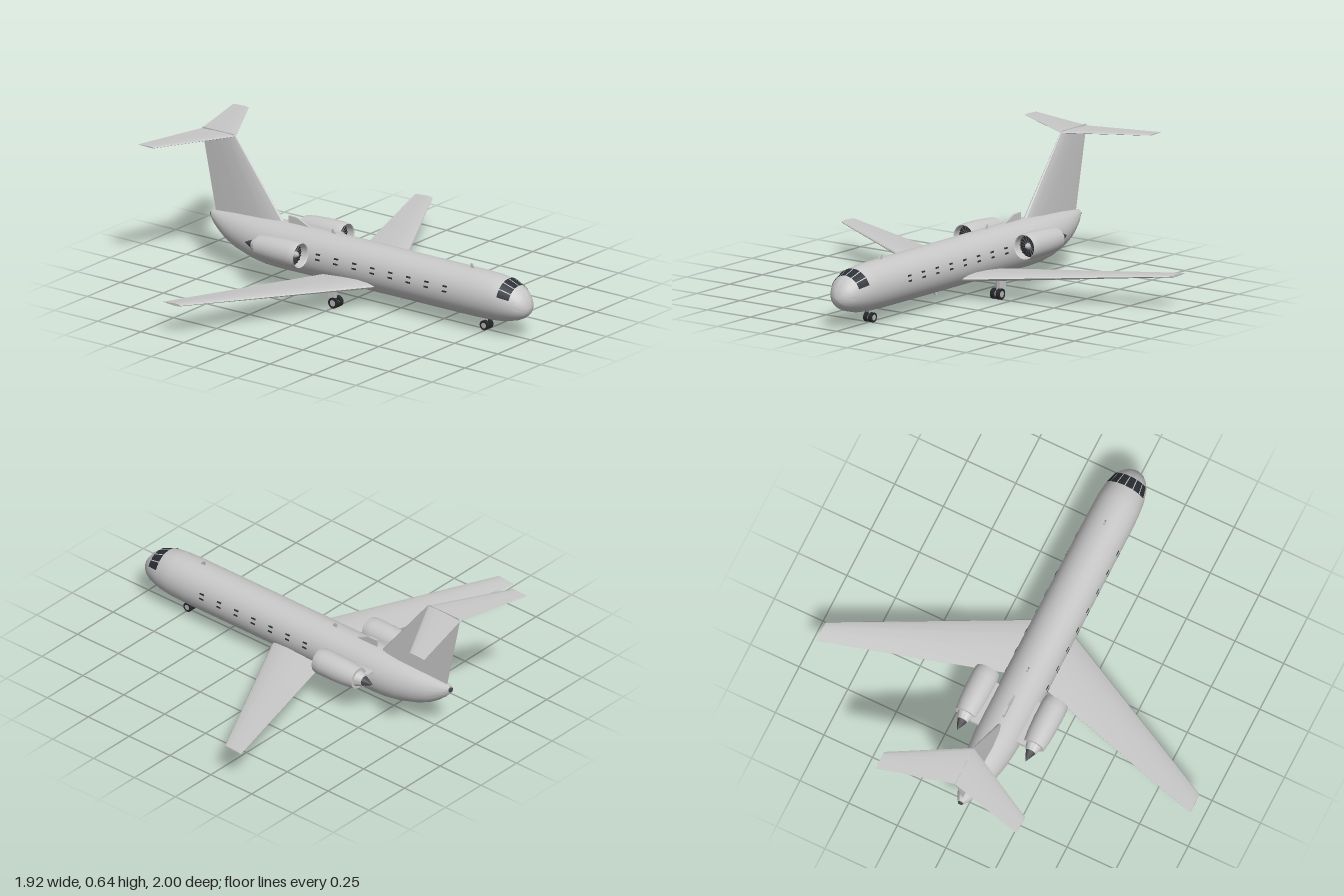
import * as THREE from 'three';
import { toCreasedNormals } from 'three/addons/utils/BufferGeometryUtils.js';

const mat = (name, color, extra = {}) => Object.assign(new THREE.MeshStandardMaterial({ color, ...extra }), { name });

// Fuselage stations from tail to nose: z, top, bottom, half width
const STATIONS = [
  [-0.845, 0.251, 0.212, 0.016], [-0.82, 0.255, 0.185, 0.03], [-0.78, 0.259, 0.152, 0.046],
  [-0.74, 0.264, 0.126, 0.061], [-0.68, 0.27, 0.1, 0.078], [-0.58, 0.277, 0.072, 0.097],
  [-0.5, 0.281, 0.06, 0.106], [-0.42, 0.283, 0.057, 0.109], [0.7, 0.283, 0.057, 0.109],
  [0.8, 0.281, 0.06, 0.107], [0.87, 0.273, 0.067, 0.1], [0.935, 0.247, 0.084, 0.082],
  [0.965, 0.222, 0.098, 0.063], [0.985, 0.196, 0.114, 0.043], [0.996, 0.172, 0.132, 0.02], [1, 0.151, 0.149, 0.001],
];
function hullPoint(z, angle, lift = 0) {
  let i = 0;
  while (i < STATIONS.length - 2 && STATIONS[i + 1][0] < z) i++;
  const a = STATIONS[i], b = STATIONS[i + 1], t = (z - a[0]) / (b[0] - a[0]);
  const [top, bottom, w] = [1, 2, 3].map(k => THREE.MathUtils.lerp(a[k], b[k], t));
  return new THREE.Vector3((w + lift) * Math.cos(angle), (top + bottom) / 2 + ((top - bottom) / 2 + lift) * Math.sin(angle), z);
}

// Skin over closed rings of points, with flat end caps
function loft(rings, crease) {
  const n = rings[0].length, last = (rings.length - 1) * n, idx = [];
  for (let i = 0; i < rings.length - 1; i++)
    for (let j = 0; j < n; j++) {
      const a = i * n + j, b = i * n + (j + 1) % n;
      idx.push(a, b, b + n, a, b + n, a + n);
    }
  for (let j = 1; j < n - 1; j++) idx.push(0, j + 1, j, last, last + j, last + j + 1);
  const g = new THREE.BufferGeometry().setFromPoints(rings.flat());
  g.setIndex(idx);
  return toCreasedNormals(g, crease);
}

// Aerofoil ring: calls place(z, offset) round the section, leading edge first
const FOIL = [[0, 0], [0.02, 0.4], [0.1, 0.78], [0.3, 1], [0.6, 0.75], [1, 0.06]];
function foil(lead, trail, half, place) {
  const side = s => FOIL.map(([c, h]) => place(THREE.MathUtils.lerp(lead, trail, c), s * h * half));
  return [...side(1), ...side(-1).slice(1).reverse()];
}

// Thin upright plate from a side outline of [z, y] points
function plate(points, width) {
  const g = new THREE.ExtrudeGeometry(new THREE.Shape(points.map(p => new THREE.Vector2(...p))), { depth: width, bevelEnabled: false });
  return g.translate(0, 0, -width / 2).rotateY(-Math.PI / 2);
}

// Pane that follows the fuselage skin
function pane(z0, z1, a0, a1) {
  const g = new THREE.PlaneGeometry(1, 1, 4, 1), p = g.attributes.position;
  for (let i = 0; i < p.count; i++) {
    const v = hullPoint(z0 + (p.getY(i) + 0.5) * (z1 - z0), a0 + (p.getX(i) + 0.5) * (a1 - a0), 0.002);
    p.setXYZ(i, v.x, v.y, v.z);
  }
  g.computeVertexNormals();
  return g;
}

const spin = (pts, seg = 32) => toCreasedNormals(
  new THREE.LatheGeometry(pts.map(p => new THREE.Vector2(...p)), seg).rotateX(Math.PI / 2), 0.6);

export function createModel() {
  const model = new THREE.Group();
  model.name = 'jetAirliner';
  const skin = mat('lightGrey', 0xc8c8c8);
  const glass = mat('darkGlass', 0x2b3036, { side: THREE.DoubleSide });
  const dark = mat('darkMetal', 0x474a4e);
  const rubber = mat('tyreBlack', 0x26282a);
  const steel = mat('wheelSilver', 0xb4b6b8);
  const add = (name, geo, m, x = 0, y = 0, z = 0, parent = model) => {
    const mesh = new THREE.Mesh(geo, m);
    mesh.name = name;
    mesh.position.set(x, y, z);
    parent.add(mesh);
    return mesh;
  };

  // Body
  const hull = STATIONS.map(s => Array.from({ length: 40 }, (_, j) => hullPoint(s[0], j / 40 * Math.PI * 2)));
  add('fuselage', loft(hull, 0.9), skin);
  add('tailExhaust', new THREE.CylinderGeometry(0.012, 0.012, 0.012, 16).rotateX(Math.PI / 2), dark, 0, 0.232, -0.846);

  // Wings and tailplane run from tip to tip
  const wing = [[-0.96, -0.3, -0.4, 0.006, 0.157], [0, 0.21, -0.108, 0.02, 0.103], [0.96, -0.3, -0.4, 0.006, 0.157]];
  const tail = [[-0.362, -0.91, -1, 0.003, 0.636], [0, -0.71, -0.908, 0.006, 0.636], [0.362, -0.91, -1, 0.003, 0.636]];
  for (const [name, rows] of [['wings', wing], ['tailplane', tail]])
    add(name, loft(rows.map(([x, l, t, h, y]) => foil(l, t, h, (z, o) => new THREE.Vector3(x, y - o, z))), 0.5), skin);
  const fin = [[0.24, -0.4, -0.823, 0.021], [0.636, -0.707, -0.905, 0.008]];
  add('fin', loft(fin.map(([y, l, t, h]) => foil(l, t, h, (z, o) => new THREE.Vector3(o, y, z))), 0.5), skin);
  add('finCap', plate([[-0.71, 0.634], [-0.72, 0.645], [-0.9, 0.645], [-0.907, 0.634]], 0.006), skin);

  // Blade aerials and dorsal inlet
  for (const z of [0.665, -0.14])
    add('topAerial', plate([[z + 0.015, 0.28], [z - 0.012, 0.28], [z - 0.012, 0.303], [z - 0.002, 0.303]], 0.007), skin);
  add('bellyAerial', plate([[0.268, 0.06], [0.24, 0.06], [0.235, 0.037], [0.245, 0.037]], 0.007), skin);
  add('dorsalInlet', plate([[-0.275, 0.28], [-0.4, 0.28], [-0.4, 0.316], [-0.35, 0.314]], 0.01), skin);

  // Cockpit and cabin windows
  const deg = Math.PI / 180;
  for (let i = 0; i < 6; i++) {
    const a = 20 + i * 23.4;
    add('cockpitWindow', pane(0.873, 0.932, (a + 1.5) * deg, (a + 21.9) * deg), glass);
  }
  for (let i = 0; i < 8; i++)
    for (const a of [0.08, 0.295])
      for (const mid of [a, Math.PI - a]) {
        const z = 0.582 - i * 0.105;
        add('cabinWindow', pane(z - 0.013, z + 0.013, mid - 0.036, mid + 0.036), glass);
      }

  // Engines
  const nacelle = spin([[0.02, -0.472], [0.027, -0.472], [0.038, -0.438], [0.052, -0.438], [0.058, -0.39],
    [0.062, -0.32], [0.063, -0.24], [0.061, -0.21], [0.058, -0.2], [0.054, -0.204], [0.052, -0.24]]);
  const cone = spin([[0, -0.525], [0.012, -0.5], [0.025, -0.47], [0, -0.47]], 20);
  const spinner = spin([[0.016, -0.236], [0.013, -0.222], [0.006, -0.212], [0, -0.21]], 20);
  const blade = new THREE.BoxGeometry(0.004, 0.036, 0.004).rotateY(0.6).translate(0, 0.033, -0.234);
  for (const s of [-1, 1]) {
    const engine = new THREE.Group();
    engine.name = s > 0 ? 'leftEngine' : 'rightEngine';
    engine.position.set(s * 0.176, 0.208, 0);
    model.add(engine);
    add('nacelle', nacelle, skin, 0, 0, 0, engine);
    add('exhaustCone', cone, dark, 0, 0, 0, engine);
    add('spinner', spinner, steel, 0, 0, 0, engine);
    add('fan', new THREE.CircleGeometry(0.053, 32), rubber, 0, 0, -0.238, engine);
    for (let i = 0; i < 16; i++) add('fanBlade', blade, dark, 0, 0, 0, engine).rotation.z = i * Math.PI / 8;
    add('pylon', new THREE.BoxGeometry(0.07, 0.022, 0.22), skin, -s * 0.07, 0, -0.35, engine);
  }

  // Landing gear
  function gear(name, x, z, r, gap, top) {
    const g = new THREE.Group();
    g.name = name;
    g.position.set(x, 0, z);
    model.add(g);
    for (const s of [-1, 1]) {
      add('tyre', new THREE.CylinderGeometry(r, r, 0.018, 24).rotateZ(Math.PI / 2), rubber, s * gap, r, 0, g);
      add('hub', new THREE.CylinderGeometry(r * 0.58, r * 0.58, 0.02, 20).rotateZ(Math.PI / 2), steel, s * gap, r, 0, g);
    }
    add('axle', new THREE.CylinderGeometry(0.005, 0.005, gap * 2, 10).rotateZ(Math.PI / 2), steel, 0, r, 0, g);
    add('strut', new THREE.CylinderGeometry(0.006, 0.006, top - r, 12), steel, 0, (top + r) / 2, 0, g);
  }
  gear('noseGear', 0, 0.745, 0.023, 0.014, 0.075);
  for (const s of [-1, 1]) {
    gear(s > 0 ? 'leftMainGear' : 'rightMainGear', s * 0.177, 0.005, 0.026, 0.016, 0.11);
    add('gearDoor', new THREE.BoxGeometry(0.004, 0.05, 0.045), skin, s * 0.206, 0.082, 0.005);
  }
  return model;
}
